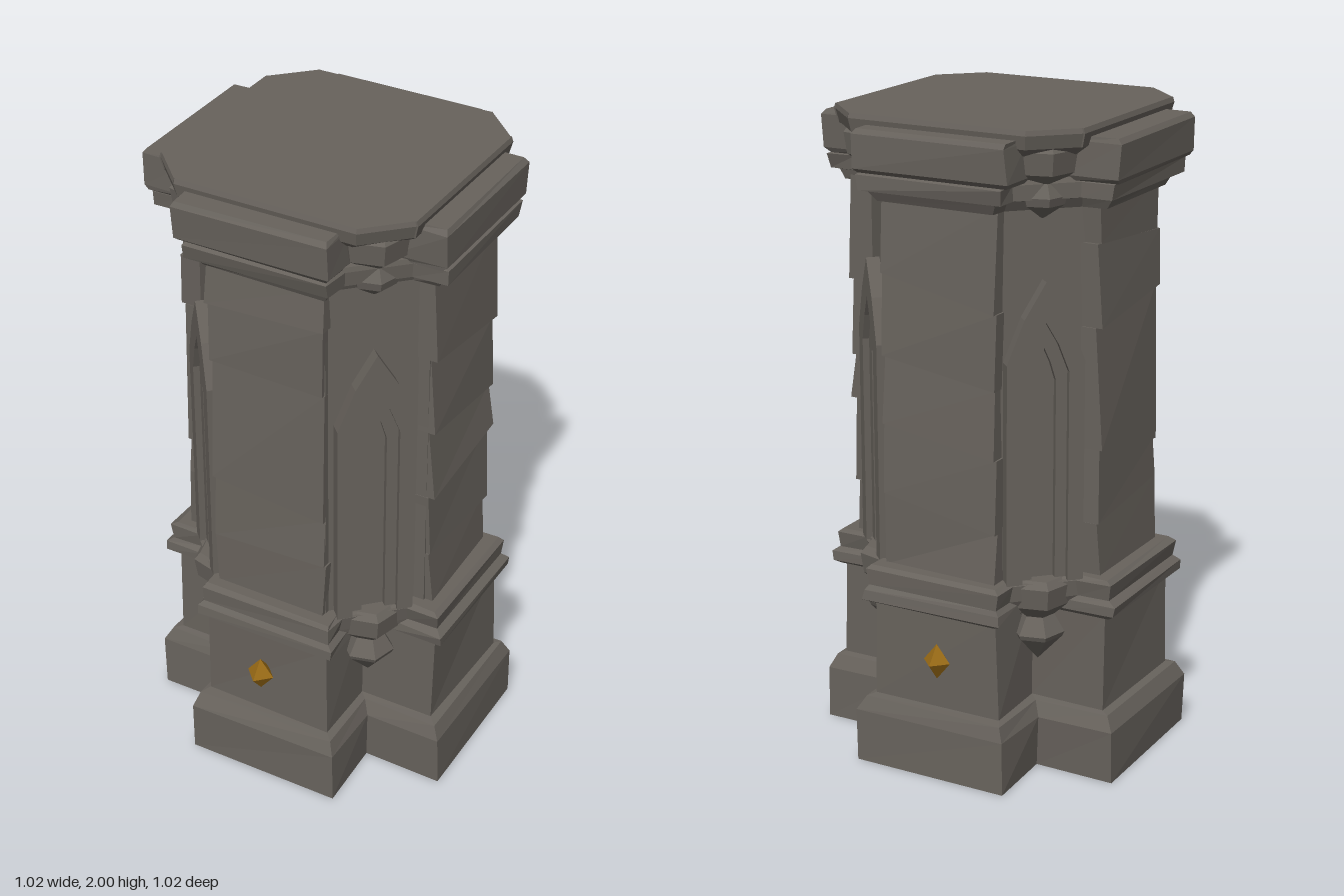
import * as THREE from 'three';

const stone = new THREE.MeshStandardMaterial({ color: 0x67625c, flatShading: true });
stone.name = 'grey stone';
const gold = new THREE.MeshStandardMaterial({ color: 0x986a16, flatShading: true });
gold.name = 'old gold';

// Repeatable roughness that depends only on position
const hash = (x, y, z) => {
  const s = Math.sin(x * 127.1 + y * 311.7 + z * 74.7) * 43758.5453;
  return s - Math.floor(s) - 0.5;
};

function add(parent, name, geometry, material = stone) {
  const mesh = new THREE.Mesh(geometry, material);
  mesh.name = name;
  parent.add(mesh);
  return mesh;
}

// Skin a stack of equal-length rings and close both ends
function loft(rings) {
  const out = [];
  const tri = (a, b, c) => {
    const n = b.clone().sub(a).cross(c.clone().sub(a));
    if (n.length() > 1e-8) for (const p of [a, b, c]) out.push(p.x, p.y, p.z);
  };
  const mid = r => r.reduce((s, p) => s.add(p), new THREE.Vector3()).divideScalar(r.length);
  const n = rings[0].length, last = rings[rings.length - 1];
  const bottom = mid(rings[0]), top = mid(last);
  for (let i = 0; i < n; i++) {
    const k = (i + 1) % n;
    tri(bottom, rings[0][i], rings[0][k]);
    for (let j = 0; j < rings.length - 1; j++) {
      tri(rings[j][i], rings[j + 1][i], rings[j][k]);
      tri(rings[j][k], rings[j + 1][i], rings[j + 1][k]);
    }
    tri(top, last[k], last[i]);
  }
  const g = new THREE.BufferGeometry();
  g.setAttribute('position', new THREE.Float32BufferAttribute(out, 3));
  g.computeVertexNormals();
  return g;
}

// Cross plan: reach ex / ez, arm half width w, chamfer k between the arms
function cross(y, ex, ez, w, k = w, ox = 0, rough = 0.012) {
  const q = [[ex, w], [k, w], [w, k], [w, ez]];
  const m = q.map(([x, z]) => [-x, z]).reverse();
  const half = [...q, ...m];
  return [...half, ...half.map(([x, z]) => [-x, -z])].map(([x, z]) =>
    new THREE.Vector3(x + ox + rough * hash(x, y, z), y, z + rough * hash(z, y, x)));
}

// Square plan with the same point count as the cross
function square(y, h) {
  const q = [[h, h / 2], [h, h], [h, h], [h / 2, h]];
  const m = q.map(([x, z]) => [-x, z]).reverse();
  const half = [...q, ...m];
  return [...half, ...half.map(([x, z]) => [-x, -z])].map(([x, z]) => new THREE.Vector3(x, y, z));
}

// Pointed arch outline
function arch(path, half, shoulder, tip) {
  path.moveTo(-half, 0);
  path.lineTo(half, 0);
  path.lineTo(half, shoulder);
  path.lineTo(half * 0.55, shoulder + (tip - shoulder) * 0.55);
  path.lineTo(0, tip);
  path.lineTo(-half * 0.55, shoulder + (tip - shoulder) * 0.55);
  path.lineTo(-half, shoulder);
  path.closePath();
  return path;
}

function archFrame(outer, inner, depth) {
  const shape = arch(new THREE.Shape(), ...outer);
  shape.holes.push(arch(new THREE.Path(), ...inner));
  return new THREE.ExtrudeGeometry(shape, { depth, bevelEnabled: false });
}

function carvedBoss(profile) {
  return new THREE.LatheGeometry(profile.map(([r, y]) => new THREE.Vector2(r, y)), 6);
}

export function createModel() {
  const model = new THREE.Group();
  model.name = 'stonePillar';

  // Hollow plinth and dado
  add(model, 'plinth', loft([
    square(0.5, 0.17), square(0, 0.18),
    cross(0, 0.508, 0.483, 0.255), cross(0.165, 0.508, 0.483, 0.255),
    cross(0.21, 0.485, 0.462, 0.235), cross(0.214, 0.46, 0.432, 0.213),
    cross(0.525, 0.46, 0.432, 0.21)]));

  // Moulded band above the dado
  add(model, 'lowerBand', loft([
    cross(0.515, 0.475, 0.445, 0.215, 0.3), cross(0.53, 0.495, 0.465, 0.235, 0.33),
    cross(0.56, 0.495, 0.465, 0.235, 0.35), cross(0.575, 0.475, 0.447, 0.22, 0.37),
    cross(0.625, 0.482, 0.452, 0.225, 0.37), cross(0.637, 0.465, 0.435, 0.215, 0.37)]));

  // Shaft core with chamfered corners
  add(model, 'shaftCore', loft([
    cross(0.62, 0.405, 0.385, 0.18, 0.37, 0, 0), cross(1.79, 0.405, 0.385, 0.18, 0.37, 0, 0)]));

  // Cornice and cap
  add(model, 'cornice', loft([
    cross(1.755, 0.435, 0.415, 0.195, 0.36), cross(1.785, 0.455, 0.435, 0.21, 0.37),
    cross(1.79, 0.475, 0.455, 0.23, 0.37), cross(1.835, 0.478, 0.46, 0.235, 0.38),
    cross(1.85, 0.44, 0.42, 0.22, 0.38)]));
  add(model, 'cap', loft([
    cross(1.84, 0.48, 0.455, 0.24, 0.33, -0.012), cross(1.855, 0.493, 0.472, 0.25, 0.33, -0.012),
    cross(1.955, 0.496, 0.474, 0.25, 0.34, -0.012), cross(1.97, 0.485, 0.465, 0.245, 0.34, -0.012)]));
  add(model, 'topSlab', loft([
    cross(1.91, 0.36, 0.36, 0.25, 0.36, 0, 0), cross(1.945, 0.405, 0.4, 0.285, 0.4, 0, 0),
    cross(1.985, 0.415, 0.408, 0.29, 0.41, 0, 0), cross(2, 0.41, 0.403, 0.29, 0.405, 0, 0)]));

  // Cracked stone courses on each arm: joint heights at left and right edge
  const courses = [
    [[0.63, 0.63], [0.81, 0.82], [1.03, 0.98], [1.44, 1.42], [1.63, 1.64], [1.77, 1.77]],
    [[0.63, 0.63], [0.81, 0.8], [1.02, 1.07], [1.25, 1.21], [1.5, 1.45], [1.77, 1.77]],
    [[0.63, 0.63], [0.86, 0.79], [1.08, 1.02], [1.29, 1.23], [1.54, 1.46], [1.77, 1.77]],
    [[0.63, 0.63], [0.8, 0.84], [1.03, 0.96], [1.4, 1.45], [1.65, 1.62], [1.77, 1.77]]];
  courses.forEach((joints, side) => {
    const arm = new THREE.Group();
    arm.name = 'shaftArm';
    arm.rotation.y = side * Math.PI / 2;
    const reach = side % 2 ? 0.432 : 0.412;
    const shift = [-0.008, 0.012, 0, 0][side];
    for (let i = 0; i < joints.length - 1; i++) {
      const ring = ([yl, yr], end) => {
        const zl = reach - 0.006 - 0.012 * end + 0.018 * hash(i, side, end);
        const zr = reach - 0.006 - 0.012 * end + 0.018 * hash(i, end, side + 5);
        const w = 0.19 + 0.012 * hash(side, i, end + 3);
        return [[w, yr, 0.2], [w, yr, zr], [-w, yl, zl], [-w, yl, 0.2]]
          .map(([x, y, z]) => new THREE.Vector3(x + shift, y, z));
      };
      add(arm, 'stoneCourse', loft([ring(joints[i], 0), ring(joints[i + 1], 1)]));
    }
    model.add(arm);
  });

  // Pointed arch niches and carved bosses on the four corners
  for (let i = 0; i < 4; i++) {
    const corner = new THREE.Group();
    corner.name = 'cornerNiche';
    corner.rotation.y = Math.PI / 4 + i * Math.PI / 2;

    const outer = add(corner, 'archFrame',
      archFrame([0.118, 0.68, 0.92], [0.07, 0.65, 0.8], 0.045));
    outer.position.set(0, 0.63, 0.385);
    const inner = add(corner, 'archInnerFrame',
      archFrame([0.075, 0.65, 0.81], [0.036, 0.62, 0.72], 0.025));
    inner.position.set(0, 0.63, 0.385);

    const lower = add(corner, 'lowerBoss', carvedBoss([[0, 0.36], [0.075, 0.44],
      [0.082, 0.455], [0.05, 0.51], [0.095, 0.55], [0.105, 0.615], [0.085, 0.637], [0, 0.637]]));
    lower.position.z = 0.36;
    const upper = add(corner, 'upperBoss', carvedBoss([[0, 1.725], [0.065, 1.77],
      [0.072, 1.795], [0.05, 1.835], [0.095, 1.865], [0.105, 1.93], [0.08, 1.96], [0, 1.96]]));
    upper.position.z = 0.385;
    model.add(corner);
  }

  // Gold studs on the front and back of the dado
  for (const [x, z] of [[-0.01, 0.462], [-0.025, -0.467]]) {
    const stud = add(model, 'goldStud', new THREE.OctahedronGeometry(1), gold);
    stud.scale.set(0.045, 0.056, 0.045);
    stud.position.set(x, 0.38, z);
  }
  return model;
}
